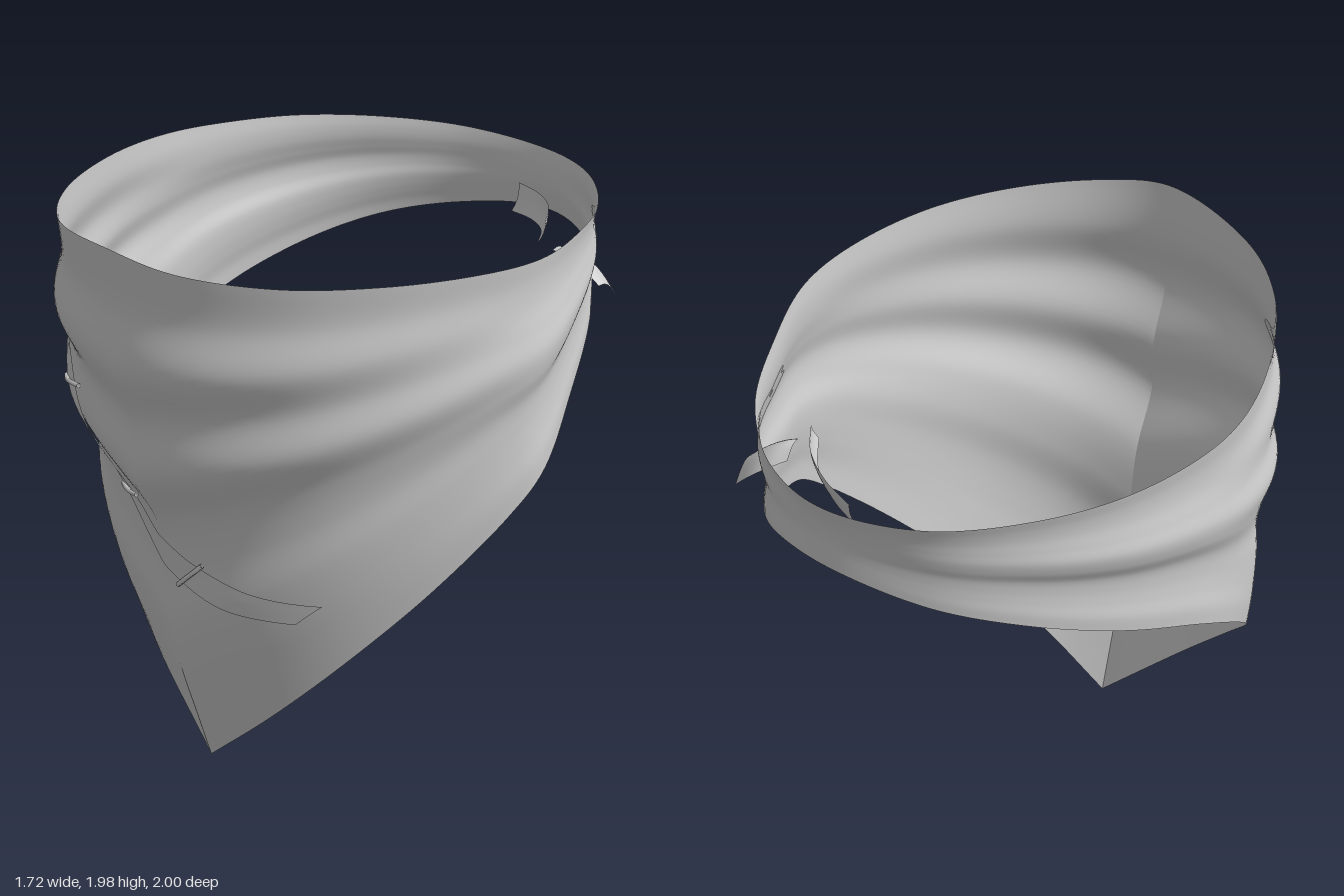
import * as THREE from 'three';

const V = (x, y, z) => new THREE.Vector3(x, y, z);
const material = new THREE.MeshStandardMaterial({ color: 0xcccccc, side: THREE.DoubleSide });

// Grid surface from a rule fn(u, v) -> Vector3
function sheet(name, fn, nu, nv) {
  const pos = [], idx = [];
  for (let i = 0; i <= nu; i++)
    for (let j = 0; j <= nv; j++) pos.push(...fn(i / nu, j / nv).toArray());
  for (let i = 0; i < nu; i++)
    for (let j = 0; j < nv; j++) {
      const a = i * (nv + 1) + j, c = a + nv + 1;
      idx.push(a, a + 1, c, c, a + 1, c + 1);
    }
  const geo = new THREE.BufferGeometry();
  geo.setAttribute('position', new THREE.Float32BufferAttribute(pos, 3));
  geo.setIndex(idx);
  geo.computeVertexNormals();
  const mesh = new THREE.Mesh(geo, material);
  mesh.name = name;
  return mesh;
}

// Top rim and hem, from the front point round by +x, the back and -x
const rimKeys = [
  [.22, 1.98, .98], [.455, 1.955, .89], [.67, 1.93, .67], [.8, 1.91, .38], [.84, 1.88, .05], [.8, 1.85, -.21],
  [.64, 1.81, -.5], [.43, 1.78, -.77], [.14, 1.76, -.96], [-.13, 1.75, -1], [-.445, 1.76, -.885], [-.66, 1.78, -.66],
  [-.79, 1.8, -.4], [-.835, 1.82, -.1], [-.81, 1.84, .13], [-.685, 1.87, .42], [-.445, 1.9, .74], [-.16, 1.93, .93],
];
const hemKeys = [
  [.17, 0, .63], [.4, .24, .53], [.6, .5, .36], [.74, .75, .13], [.81, .98, -.12], [.8, 1.09, -.26],
  [.64, 1.23, -.5], [.43, 1.4, -.76], [.14, 1.52, -.96], [-.13, 1.53, -.99], [-.445, 1.47, -.87], [-.66, 1.4, -.66],
  [-.79, 1.3, -.38], [-.83, 1.17, -.05], [-.78, 1.02, .2], [-.68, .86, .39], [-.46, .62, .56], [-.2, .36, .645],
  [.17, 0, .63],
];
const rim = new THREE.CatmullRomCurve3(rimKeys.map(p => V(...p)), true);
const hem = new THREE.CatmullRomCurve3(hemKeys.map(p => V(...p)));

// Fold depth from rim to hem: front, side, back
const folds = new THREE.CatmullRomCurve3([
  [0, 0, 0], [.018, -.008, -.006], [.08, -.005, -.011], [.045, .01, -.014], [.085, .025, -.016], [.025, .015, -.016],
  [.025, -.01, -.015], [.055, -.015, -.012], [.05, -.01, -.008], [.025, 0, -.004], [0, 0, 0],
].map(p => V(...p)), false, 'catmullrom');

function clothPoint(u, v) {
  const p = rim.getPoint(u).lerp(hem.getPoint(u), v);
  const f = folds.getPoint(v);
  const d = Math.min(u, 1 - u) * 18;
  const front = 1 - THREE.MathUtils.smoothstep(d, 0, 5);
  const back = THREE.MathUtils.smoothstep(d, 5, 9);
  const bulge = f.x * front + f.y * (1 - front - back) + f.z * back;
  return p.addScaledVector(V(p.x, 0, p.z).normalize(), bulge);
}

export function createModel() {
  const model = new THREE.Group();
  model.name = 'neckerchief';

  // Folded triangular cloth wrapped into a ring
  const cloth = sheet('cloth', clothPoint, 180, 80);
  model.add(cloth);
  cloth.updateMatrixWorld(true);

  // Point on the front of the cloth, lifted a little
  const ray = new THREE.Raycaster();
  const onCloth = (x, y, lift) => {
    ray.set(V(x, y, 3), V(0, 0, -1));
    const hit = ray.intersectObject(cloth)[0];
    const z = hit ? hit.point.z : 0.6;
    const n = hit ? hit.face.normal : V(0, 0, 1);
    return V(x, y, z).addScaledVector(n, lift);
  };

  // Long curved patch laid across the front
  const edgeA = new THREE.CatmullRomCurve3([
    [-.465, 1.57], [-.24, 1.36], [-.09, 1.2], [.02, 1.05], [.11, .92], [.22, .8], [.37, .725], [.55, .68],
  ].map(([x, y]) => V(x, y, 0)));
  const edgeB = new THREE.CatmullRomCurve3([
    [-.37, 1.57], [-.15, 1.37], [0, 1.21], [.105, 1.07], [.18, .96], [.27, .88], [.43, .81], [.61, .755],
  ].map(([x, y]) => V(x, y, 0)));
  model.add(sheet('frontStrip', (u, v) => {
    const p = edgeB.getPoint(u).lerp(edgeA.getPoint(u), v);
    return onCloth(p.x, p.y, 0.008);
  }, 48, 4));

  // Stitches over the strip
  for (const [x0, y0, x1, y1] of [[-.25, 1.345, -.11, 1.37], [.01, 1.05, .14, 1.075], [.24, .76, .335, .865]]) {
    const pts = [0, .25, .5, .75, 1].map(t =>
      onCloth(x0 + (x1 - x0) * t, y0 + (y1 - y0) * t, 0.008 + 0.008 * Math.sin(Math.PI * t)));
    const stitch = new THREE.Mesh(
      new THREE.TubeGeometry(new THREE.CatmullRomCurve3(pts), 10, 0.008, 6), material);
    stitch.name = 'stitch';
    model.add(stitch);
  }

  // Loose tail curling inside the back
  const tail = new THREE.CatmullRomCurve3([
    V(-.08, 1.62, -.835), V(.06, 1.64, -.805), V(.2, 1.66, -.735), V(.31, 1.67, -.63),
  ]);
  model.add(sheet('innerTail', (u, v) => {
    const p = tail.getPoint(u);
    const h = 0.1 - 0.03 * u;
    return p.add(V(0.012 * Math.sin(Math.PI * v), h * (0.5 - v), 0.03 * (v - 0.5)));
  }, 20, 5));

  // Short tail poking out through the band
  const tailTop = new THREE.QuadraticBezierCurve3(V(.36, 1.62, -.64), V(.42, 1.62, -.67), V(.52, 1.53, -.71));
  const tailLow = new THREE.QuadraticBezierCurve3(V(.36, 1.57, -.71), V(.4, 1.56, -.82), V(.52, 1.45, -.8));
  model.add(sheet('outerTail', (u, v) => {
    const p = tailTop.getPoint(u).lerp(tailLow.getPoint(u), v);
    p.y += 0.03 * Math.sin(Math.PI * v);
    return p;
  }, 12, 8));

  return model;
}
